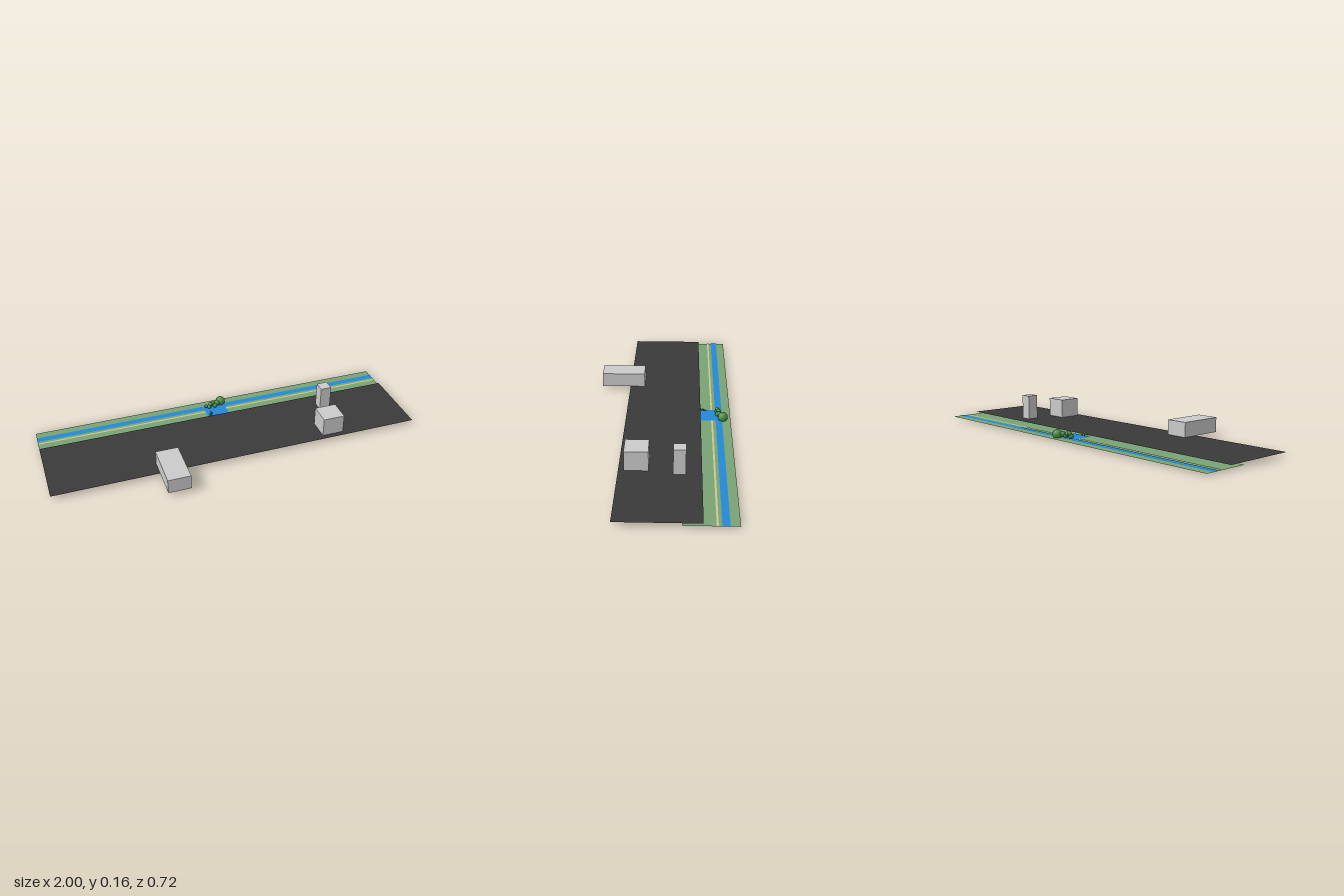
import * as THREE from 'three';

const mat = (color, side = THREE.FrontSide) => new THREE.MeshStandardMaterial({ color, side });

// Flat horizontal strip between two corners, at height y
function sheet(name, x0, x1, z0, z1, y, color) {
  const geo = new THREE.PlaneGeometry(x1 - x0, z1 - z0).rotateX(-Math.PI / 2);
  const mesh = new THREE.Mesh(geo, mat(color, THREE.DoubleSide));
  mesh.name = name;
  mesh.position.set((x0 + x1) / 2, y, (z0 + z1) / 2);
  return mesh;
}

// Plain building block standing on the paving
function block(name, x0, x1, z0, z1, top) {
  const base = 0.0215;
  const mesh = new THREE.Mesh(new THREE.BoxGeometry(x1 - x0, top - base, z1 - z0), mat(0xcccccc));
  mesh.name = name;
  mesh.position.set((x0 + x1) / 2, (base + top) / 2, (z0 + z1) / 2);
  return mesh;
}

// Group of balls given as [x, y, z, radius]
function balls(name, list, color) {
  const group = new THREE.Group();
  group.name = name;
  const material = mat(color);
  for (const [x, y, z, r] of list) {
    const ball = new THREE.Mesh(new THREE.SphereGeometry(r, 24, 16), material);
    ball.name = name + 'Ball';
    ball.position.set(x, y, z);
    group.add(ball);
  }
  return group;
}

export function createModel() {
  const model = new THREE.Group();
  model.name = 'riversideSite';

  // Ground: paving, with a lower grass bank running partly beneath it
  model.add(
    sheet('paving', -1, 1, -0.2, 0.2, 0.022, 0x3a3a3a),
    sheet('grassBank', -1, 1, -0.36, -0.11, 0.009, 0x7aa374),
    sheet('river', -1, 1, -0.315, -0.28, 0.0105, 0x2389d6),
    sheet('footpath', -1, 1, -0.265, -0.256, 0.0105, 0xcfc890),
    sheet('pond', -0.062, 0.062, -0.3, -0.19, 0.012, 0x2389d6)
  );

  // Buildings
  model.add(
    block('longBuilding', -0.445, -0.325, 0.118, 0.36, 0.1),
    block('squareBuilding', 0.47, 0.588, 0.055, 0.172, 0.125),
    block('tower', 0.556, 0.616, -0.123, -0.063, 0.156)
  );

  // Trees along the river
  model.add(balls('trees', [
    [0.045, 0.0268, -0.318, 0.0265],
    [0.02, 0.03, -0.302, 0.015],
    [0.005, 0.022, -0.293, 0.014],
    [-0.008, 0.034, -0.297, 0.012],
    [-0.022, 0.036, -0.291, 0.011],
    [-0.03, 0.022, -0.289, 0.012],
    [-0.046, 0.024, -0.295, 0.009]
  ], 0x4a8f45));

  // Small shrubs in the pond
  model.add(balls('shrubs', [
    [-0.05, 0.023, -0.199, 0.005],
    [-0.043, 0.022, -0.207, 0.004],
    [-0.048, 0.022, -0.214, 0.005],
    [-0.036, 0.023, -0.221, 0.005],
    [-0.04, 0.022, -0.229, 0.002],
    [-0.037, 0.024, -0.235, 0.002]
  ], 0x4a8f45));

  return model;
}
